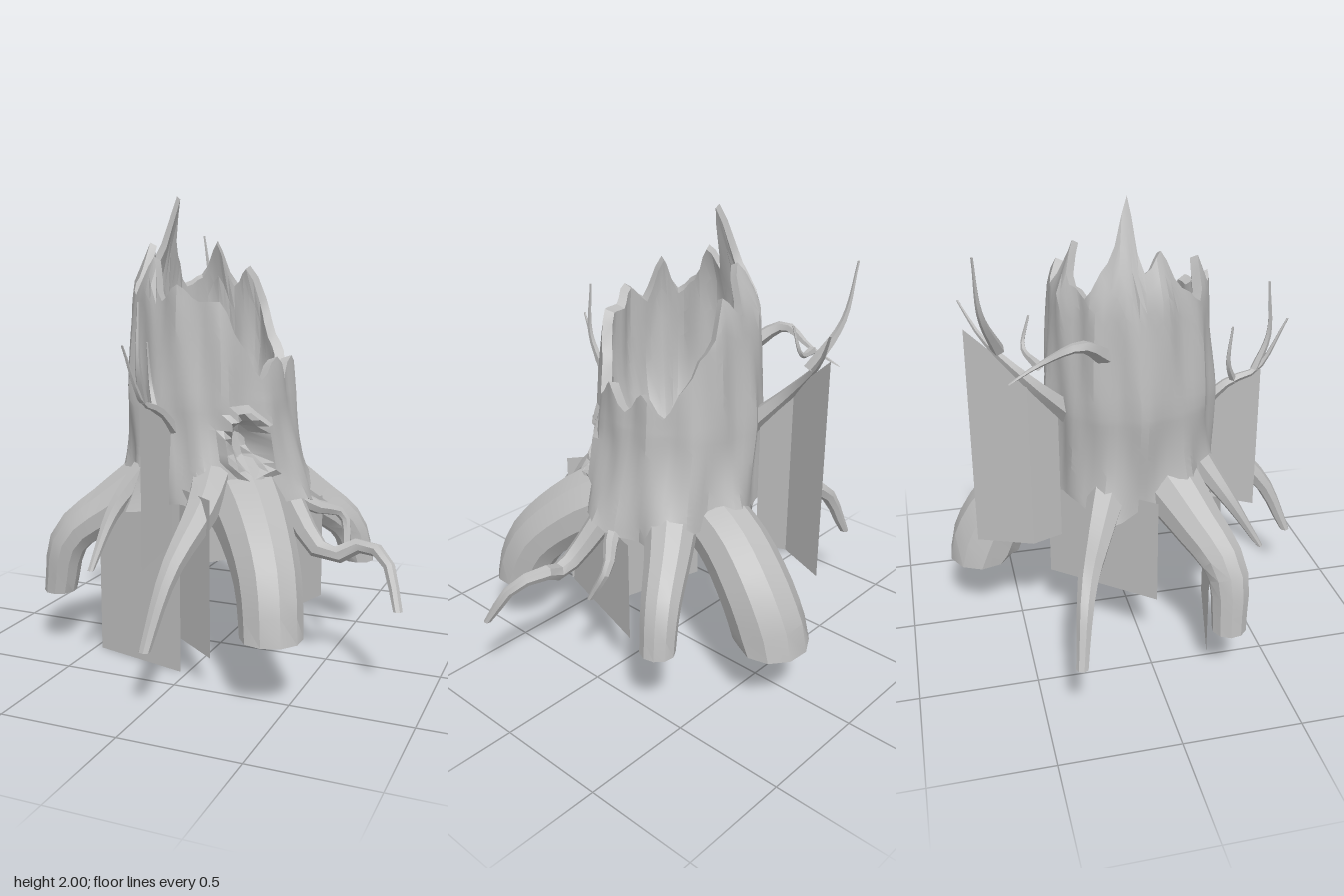
import * as THREE from 'three';
import { toCreasedNormals } from 'three/addons/utils/BufferGeometryUtils.js';

const V = (x, y, z) => new THREE.Vector3(x, y, z);
const bark = new THREE.MeshStandardMaterial({ color: 0xbcbcbc, side: THREE.DoubleSide });
bark.name = 'greyBark';

// Skin a list of closed rings (each an array of Vector3)
function loft(rings, crease) {
  const n = rings[0].length, idx = [];
  for (let i = 0; i < rings.length - 1; i++)
    for (let j = 0; j < n; j++) {
      const a = i * n + j, b = i * n + (j + 1) % n;
      idx.push(a, b, a + n, b, b + n, a + n);
    }
  const g = new THREE.BufferGeometry().setFromPoints(rings.flat());
  g.setIndex(idx);
  return toCreasedNormals(g, crease);
}

// Tapered limb along a smooth path, cut level at its end
function limb(points, start, end, sides) {
  const steps = 10, rings = [];
  const curve = new THREE.CatmullRomCurve3(points);
  const { normals, binormals } = curve.computeFrenetFrames(steps, false);
  for (let i = 0; i <= steps + 1; i++) {
    const k = Math.min(i, steps);
    const r = i > steps ? 0 : end + (start - end) * (1 - k / steps) ** 1.5;
    const c = curve.getPointAt(k / steps);
    rings.push(Array.from({ length: sides }, (_, j) => {
      const a = (j / sides) * Math.PI * 2;
      const p = c.clone().addScaledVector(normals[k], Math.cos(a) * r).addScaledVector(binormals[k], Math.sin(a) * r);
      if (k === steps) p.y = c.y;
      return p;
    }));
  }
  return loft(rings, 0.6);
}

// Rim heights every 15 degrees, from +x towards +z
const RIM = [1.22, 1.33, 1.24, 1.39, 1.56, 1.56, 1.63, 1.56, 1.74, 1.58, 1.65, 1.8,
  1.72, 2.0, 1.76, 1.62, 1.66, 1.81, 1.62, 1.7, 1.5, 1.36, 1.22, 1.32];
const ROOT_ANGLES = [48, 82, 128, 157, 207, 277, 322, 10];
const COLS = 72;

function rimHeight(turn) {
  const t = turn * RIM.length, i = Math.floor(t);
  return THREE.MathUtils.lerp(RIM[i % RIM.length], RIM[(i + 1) % RIM.length], THREE.MathUtils.smoothstep(t - i, 0, 1));
}

function angleGap(a, b) {
  return Math.abs(Math.atan2(Math.sin(a - b), Math.cos(a - b)));
}

// Outer trunk radius: bark ridges, leaning tips, flare over roots, knot hole
function trunkRadius(a, y) {
  let r = 0.36 + 0.01 * Math.sin(a * 9 + y * 4) + 0.008 * Math.sin(a * 14 - y * 5);
  if (y > 1.15) r *= 1 - 0.2 * (y - 1.15);
  if (y > 1.62) r *= 1 - 1.05 * (y - 1.62);
  const flare = Math.max(0, (1.1 - y) / 0.4);
  const near = ROOT_ANGLES.reduce((m, d) => Math.max(m, 1 - angleGap(a, d * Math.PI / 180) / 0.35), 0);
  r += flare * flare * (0.015 + 0.1 * near);
  const d = Math.hypot(angleGap(a, 0.76) * 0.36 / 0.08, (y - 0.97) / 0.11);
  if (d < 1) r -= 0.13 * Math.min(1, (1 - d) * 3);
  else if (d < 1.4) r += 0.02;
  return r;
}

function trunk() {
  const rings = [];
  const ring = profile => rings.push(Array.from({ length: COLS }, (_, j) => {
    const turn = 1 - j / COLS, a = turn * Math.PI * 2;
    const [r, y] = profile(a, rimHeight(turn));
    const cx = -0.05 * THREE.MathUtils.smoothstep(y, 0.7, 1.2);
    return V(cx + Math.cos(a) * r, y, Math.sin(a) * r);
  }));
  ring(() => [0, 0.76]);                                    // underside
  for (let i = 0; i <= 22; i++)                             // outer bark
    ring((a, top) => {
      const low = 0.71 + 0.03 * Math.sin(a * 5);
      const y = i < 14 ? low + (1.14 - low) * i / 14 : 1.14 + (top - 1.14) * (i - 14) / 8;
      return [trunkRadius(a, y), y];
    });
  for (let i = 0; i <= 6; i++)                              // hollow inside
    ring((a, top) => {
      const s = i / 6, y = top - 0.015 + (0.96 - top) * s;
      return [trunkRadius(a, Math.max(y, 1.15)) * (0.87 - 0.4 * s ** 3), y];
    });
  ring(() => [0, 0.88]);
  return loft(rings, 0.45);
}

// Hanging sheet between two upright edges, each given as [x, z, low y, high y]
function sheet(...edges) {
  const g = new THREE.PlaneGeometry(1, 1);
  edges.forEach(([x, z, low, high], i) => {
    g.attributes.position.setXYZ(i, x, high, z);
    g.attributes.position.setXYZ(i + 2, x, low, z);
  });
  g.computeVertexNormals();
  return g;
}

export function createModel() {
  const model = new THREE.Group();
  model.name = 'hollowStump';
  const add = (name, geometry) => {
    const mesh = new THREE.Mesh(geometry, bark);
    mesh.name = name;
    model.add(mesh);
  };
  const thickRoot = (name, start, end, ...path) => add(name, limb(path, start, end, 10));
  const thinRoot = (name, start, end, ...path) => add(name, limb(path, start, end, 7));
  const branch = (name, start, ...path) => add(name, limb(path, start, 0.005, 5));

  add('trunk', trunk());

  // Thick roots
  thickRoot('frontLeftRoot', 0.18, 0.125, V(0.14, 0.76, 0.15), V(0.28, 0.66, 0.32), V(0.4, 0.49, 0.48), V(0.445, 0.29, 0.56));
  thickRoot('backRoot', 0.14, 0.16, V(0.03, 0.78, -0.16), V(0.06, 0.67, -0.39), V(0.1, 0.5, -0.57), V(0.1, 0.3, -0.665));
  thickRoot('rightRoot', 0.15, 0.073, V(-0.22, 0.8, 0.1), V(-0.42, 0.66, 0.2), V(-0.6, 0.51, 0.29), V(-0.66, 0.26, 0.29));
  thickRoot('backLeftRoot', 0.13, 0.075, V(0.15, 0.81, -0.14), V(0.34, 0.65, -0.28), V(0.48, 0.52, -0.37), V(0.53, 0.35, -0.4));

  // Thin roots
  thinRoot('frontRoot', 0.1, 0.025, V(0.08, 0.88, 0.25), V(0.1, 0.74, 0.43), V(0.06, 0.53, 0.67), V(0.02, 0.26, 0.8));
  thinRoot('backRightRoot', 0.09, 0.025, V(-0.27, 0.8, -0.13), V(-0.5, 0.65, -0.24), V(-0.72, 0.59, -0.32), V(-0.86, 0.33, -0.37));
  thinRoot('leftFeeler', 0.07, 0.02, V(0.28, 0.82, 0.05), V(0.54, 0.52, 0.15), V(0.68, 0.57, 0.12), V(0.79, 0.54, 0.17), V(0.87, 0.36, 0.27));
  thinRoot('leftHook', 0.05, 0.015, V(0.28, 0.78, 0.02), V(0.42, 0.68, -0.03), V(0.53, 0.63, -0.12), V(0.57, 0.47, -0.05));
  thinRoot('frontRightRootlet', 0.06, 0.015, V(-0.24, 0.84, 0.27), V(-0.33, 0.68, 0.38), V(-0.37, 0.45, 0.52));

  // Branches and their twigs
  branch('frontBranch', 0.035, V(-0.07, 1, 0.3), V(-0.09, 1.13, 0.44), V(-0.1, 1.18, 0.56), V(-0.12, 1.41, 0.68));
  branch('frontBranchTwig', 0.02, V(-0.1, 1.18, 0.55), V(-0.09, 1.33, 0.61), V(-0.09, 1.57, 0.6));
  branch('frontBranchSprig', 0.018, V(-0.09, 1.13, 0.46), V(-0.13, 1.23, 0.42), V(-0.14, 1.4, 0.43));
  branch('backBranch', 0.05, V(-0.18, 1.1, -0.28), V(-0.23, 1.28, -0.45), V(-0.18, 1.46, -0.62), V(-0.12, 1.6, -0.7));
  branch('backBranchTwig', 0.028, V(-0.2, 1.41, -0.56), V(-0.31, 1.6, -0.63), V(-0.36, 1.84, -0.65));
  branch('sideBranch', 0.04, V(-0.33, 1.4, -0.16), V(-0.41, 1.48, -0.27), V(-0.4, 1.42, -0.42), V(-0.43, 1.36, -0.55));
  branch('sideBranchTwig', 0.02, V(-0.4, 1.41, -0.43), V(-0.26, 1.44, -0.47), V(-0.24, 1.56, -0.44));

  // Sheets hanging below the trunk and branches
  add('frontHanging', sheet([-0.47, 0.26, 0, 0.72], [-0.03, 0.37, 0, 0.78]));
  add('frontHangingSide', sheet([-0.03, 0.37, 0.15, 0.8], [0.17, 0.52, 0.15, 0.8]));
  add('leftHanging', sheet([0.27, 0.39, 0.24, 0.7], [0.43, -0.14, 0.24, 0.7]));
  add('backRightHanging', sheet([-0.1, -0.37, 0.28, 0.76], [-0.43, 0.04, 0.28, 0.76]));
  add('frontBranchHanging', sheet([-0.07, 0.34, 0.56, 1.05], [-0.1, 0.58, 0.5, 1.18]));
  add('backBranchHangingInner', sheet([-0.19, -0.33, 0.52, 1.17], [-0.24, -0.46, 0.52, 1.29]));
  add('backBranchHangingOuter', sheet([-0.24, -0.46, 0.52, 1.29], [-0.15, -0.69, 0.52, 1.49]));
  return model;
}
